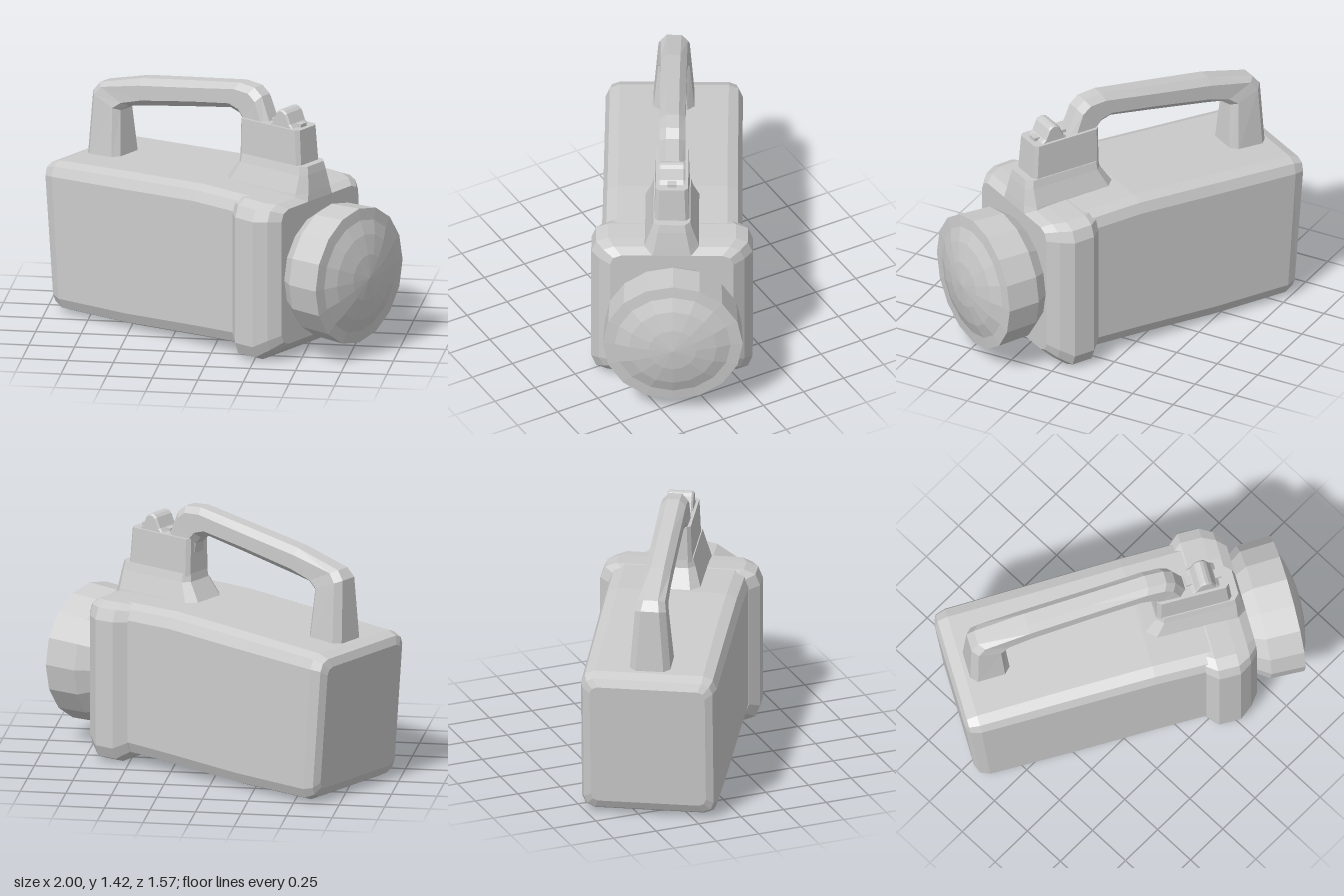
import * as THREE from 'three';

const mat = new THREE.MeshStandardMaterial({ color: 0xcccccc, flatShading: true });

// Rounded rectangle as [a, b] pairs, counterclockwise from a towards b
function roundRect(a0, a1, b0, b1, r, n = 2) {
  const pts = [];
  const corners = [[a1 - r, b1 - r], [a0 + r, b1 - r], [a0 + r, b0 + r], [a1 - r, b0 + r]];
  corners.forEach(([ca, cb], q) => {
    for (let i = 0; i <= n; i++) {
      const t = (q + i / n) * Math.PI / 2;
      pts.push([ca + r * Math.cos(t), cb + r * Math.sin(t)]);
    }
  });
  return pts;
}

// Skin over rings of equal point count, closed by flat end caps
function loft(name, rings) {
  const n = rings[0].length, last = (rings.length - 1) * n, idx = [];
  for (let i = 0; i < rings.length - 1; i++) {
    for (let j = 0; j < n; j++) {
      const k = (j + 1) % n, a = i * n + j, b = i * n + k;
      idx.push(a, b, b + n, a, b + n, a + n);
    }
  }
  for (let j = 1; j < n - 1; j++) {
    idx.push(0, j + 1, j);
    idx.push(last, last + j, last + j + 1);
  }
  const g = new THREE.BufferGeometry();
  g.setAttribute('position', new THREE.Float32BufferAttribute(rings.flat(2), 3));
  g.setIndex(idx);
  const flat = g.toNonIndexed();
  flat.computeVertexNormals();
  return mesh(name, flat);
}

function mesh(name, geometry) {
  const m = new THREE.Mesh(geometry, mat);
  m.name = name;
  return m;
}

// Section across x: position, half width, bottom, top, corner radius, backward lean
const across = ([x, hw, y0, y1, r, lean = 0]) =>
  roundRect(y0, y1, -hw, hw, r).map(([y, z]) => [x - lean * (y - 0.45), y, z]);

// Section across y: height, rear x, front x, half width, corner radius
const level = ([y, x0, x1, hw, r]) =>
  roundRect(-hw, hw, x0, x1, r, 1).map(([z, x]) => [x, y, z]);

// Handle section between an outer and an inner point
const grip = ([ox, oy, ix, iy, hw]) => {
  const len = Math.hypot(ox - ix, oy - iy);
  return roundRect(0, len, -hw, hw, 0.035, 1).map(([t, z]) =>
    [ix + (ox - ix) * t / len, iy + (oy - iy) * t / len, z]);
};

export function createModel() {
  const lamp = new THREE.Group();
  lamp.name = 'lantern';

  // Long battery case, leaning slightly at the back
  lamp.add(loft('batteryCase', [
    [-0.955, 0.315, 0.08, 0.775, 0.04, 0.08],
    [-0.935, 0.355, 0.035, 0.82, 0.06, 0.08],
    [-0.88, 0.372, 0.008, 0.842, 0.075, 0.07],
    [-0.4, 0.375, 0.01, 0.872, 0.08, 0.03],
    [0.08, 0.378, 0.035, 0.9, 0.08],
    [0.42, 0.382, 0.05, 0.895, 0.08],
  ].map(across)));

  // Wider front housing
  lamp.add(loft('frontHousing', [
    [0.36, 0.385, 0.045, 0.885, 0.08],
    [0.42, 0.438, 0.004, 0.897, 0.09],
    [0.54, 0.438, 0.002, 0.892, 0.09],
    [0.61, 0.395, 0.05, 0.885, 0.08],
    [0.66, 0.335, 0.095, 0.86, 0.06],
  ].map(across)));

  // Lamp head: neck, rim and faceted lens, turned around the long axis
  const turned = (name, profile) => {
    const g = new THREE.LatheGeometry(profile.map(p => new THREE.Vector2(...p)), 16);
    const m = mesh(name, g);
    m.rotation.z = -Math.PI / 2;
    m.position.set(0, 0.465, -0.008);
    lamp.add(m);
  };
  turned('lampRim', [[0.3, 0.62], [0.32, 0.66], [0.372, 0.735], [0.38, 0.925], [0.315, 0.932]]);
  turned('lens', [[0.315, 0.932], [0.24, 0.962], [0.13, 0.987], [0, 1.0]]);

  // Carrying handle, from the rear foot over to the switch housing
  lamp.add(loft('handle', [
    [-0.885, 0.82, -0.66, 0.83, 0.113],
    [-0.87, 1.19, -0.68, 1.11, 0.085],
    [-0.83, 1.24, -0.63, 1.145, 0.075],
    [-0.55, 1.315, -0.52, 1.165, 0.072],
    [-0.2, 1.37, -0.18, 1.225, 0.07],
    [0.13, 1.42, 0.07, 1.268, 0.07],
    [0.235, 1.41, 0.13, 1.25, 0.07],
    [0.285, 1.37, 0.165, 1.21, 0.07],
    [0.36, 1.19, 0.175, 1.1, 0.075],
  ].map(grip)));

  // Switch housing on a flared foot
  lamp.add(loft('switchFoot', [
    [0.86, 0.08, 0.66, 0.155, 0.05],
    [0.9, 0.1, 0.655, 0.145, 0.05],
    [1.0, 0.165, 0.64, 0.112, 0.035],
    [1.045, 0.17, 0.63, 0.1, 0.03],
  ].map(level)));
  lamp.add(loft('switchHousing', [
    [1.03, 0.17, 0.59, 0.095, 0.02],
    [1.24, 0.17, 0.575, 0.088, 0.02],
  ].map(level)));

  // Rocker switch with a rounded ridge
  const s = new THREE.Shape();
  s.moveTo(0.365, 1.23);
  s.lineTo(0.395, 1.255);
  s.lineTo(0.42, 1.31);
  s.quadraticCurveTo(0.445, 1.34, 0.475, 1.31);
  s.lineTo(0.5, 1.255);
  s.lineTo(0.53, 1.23);
  const rocker = mesh('rockerSwitch', new THREE.ExtrudeGeometry(s, {
    depth: 0.125, curveSegments: 4, bevelSize: 0.008, bevelThickness: 0.01, bevelSegments: 1,
  }));
  rocker.position.z = -0.0625;
  lamp.add(rocker);

  // Small markers before and behind the rocker
  for (const x of [0.365, 0.53]) {
    const nub = mesh('switchMarker', new THREE.BoxGeometry(0.035, 0.03, 0.05));
    nub.position.set(x, 1.243, 0);
    lamp.add(nub);
  }

  // The lantern stands turned toward its left
  lamp.rotation.y = -Math.PI / 6;
  const model = new THREE.Group();
  model.name = 'model';
  model.add(lamp);
  return model;
}
